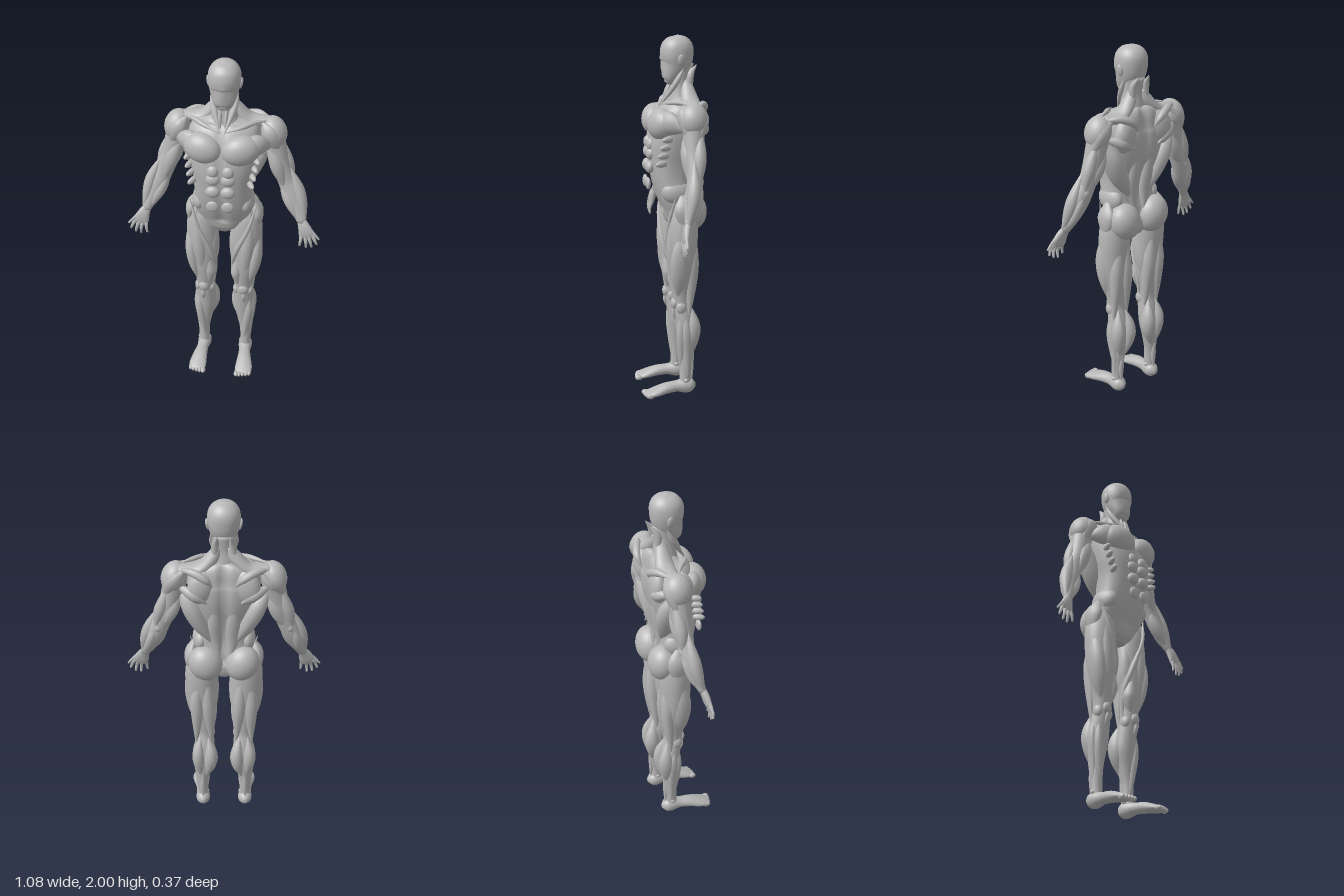
import * as THREE from 'three';

const grey = new THREE.MeshStandardMaterial({ color: 0xb8b8b8 });
grey.name = 'muscleGrey';

const Z = new THREE.Vector3(0, 0, 1), Y = new THREE.Vector3(0, 1, 0);

// Smooth skin over oval rings; each row is [x, y, z, half width, half depth]
function loft(rows, { ref = Z, n = 2, seg = 28, steps = 5, warp } = {}) {
  const path = new THREE.CatmullRomCurve3(rows.map(r => new THREE.Vector3(r[0], r[1], r[2])), false, 'catmullrom');
  const size = new THREE.CatmullRomCurve3(rows.map(r => new THREE.Vector3(r[3], r[4], 0)), false, 'catmullrom');
  const rings = (rows.length - 1) * steps, pos = [], idx = [];
  const round = v => Math.sign(v) * Math.pow(Math.abs(v), 2 / n);
  for (let i = 0; i <= rings; i++) {
    const p = path.getPoint(i / rings), s = size.getPoint(i / rings), t = path.getTangent(i / rings);
    const side = t.clone().cross(ref).normalize(), deep = t.clone().cross(side);
    for (let j = 0; j < seg; j++) {
      const a = j / seg * Math.PI * 2;
      const v = p.clone().addScaledVector(side, round(Math.cos(a)) * Math.max(s.x, 0.001))
        .addScaledVector(deep, round(Math.sin(a)) * Math.max(s.y, 0.001));
      if (warp) warp(v);
      pos.push(v.x, v.y, v.z);
      if (i < rings) {
        const k = i * seg + j, l = i * seg + (j + 1) % seg;
        idx.push(k, l, k + seg, l, l + seg, k + seg);
      }
    }
  }
  // End caps
  const first = rows[0], last = rows[rows.length - 1], c = pos.length / 3, top = rings * seg;
  pos.push(first[0], first[1], first[2], last[0], last[1], last[2]);
  for (let j = 0; j < seg; j++) {
    const k = (j + 1) % seg;
    idx.push(c, k, j, c + 1, top + j, top + k);
  }
  const g = new THREE.BufferGeometry();
  g.setAttribute('position', new THREE.Float32BufferAttribute(pos, 3));
  g.setIndex(idx);
  g.computeVertexNormals();
  return g;
}

export function createModel() {
  const model = new THREE.Group();
  model.name = 'muscleFigure';
  const add = (name, geometry) => {
    const m = new THREE.Mesh(geometry, grey);
    m.name = name;
    model.add(m);
    return m;
  };
  // Mirrored pair of lofts
  const pair = (name, rows, opt) => {
    add(name + 'Left', loft(rows, opt));
    add(name + 'Right', loft(rows.map(([x, ...rest]) => [-x, ...rest]), opt));
  };
  // Mirrored spindle muscle: points, then belly half width and half depth
  const muscle = (name, pts, w, d) => {
    const last = pts.length - 1;
    pair(name, pts.map((p, i) => {
      const k = 0.15 + 0.85 * Math.sin(Math.PI * i / last);
      return [...p, w * k, d * k];
    }), { seg: 14 });
  };
  // Mirrored ellipsoids
  const ball = (name, x, y, z, a, b, c, tilt = 0, yaw = 0) => {
    for (const s of [1, -1]) {
      const m = add(name + (s > 0 ? 'Left' : 'Right'), new THREE.SphereGeometry(1, 24, 16));
      m.position.set(x * s, y, z);
      m.scale.set(a, b, c);
      m.rotation.set(0, yaw * s, tilt * s);
    }
  };

  // Head, ears and neck
  add('head', loft([
    [0, 1.745, 0.018, 0.02, 0.016], [0, 1.76, 0.006, 0.046, 0.036], [0, 1.80, -0.008, 0.064, 0.056],
    [0, 1.85, -0.03, 0.078, 0.084], [0, 1.90, -0.036, 0.086, 0.09], [0, 1.95, -0.041, 0.079, 0.083],
    [0, 1.985, -0.043, 0.052, 0.055], [0, 2, -0.043, 0.012, 0.012]], { n: 2.1, warp: v => {
    // Nose ridge and shallow eye hollows
    if (v.z > 0) v.z += 0.008 * Math.exp(-((v.x / 0.015) ** 2) - ((v.y - 1.84) / 0.03) ** 2)
      - 0.006 * Math.exp(-(((Math.abs(v.x) - 0.035) / 0.02) ** 2) - ((v.y - 1.88) / 0.02) ** 2);
  } }));
  ball('ear', 0.084, 1.875, -0.045, 0.01, 0.032, 0.02, -0.15);
  add('neck', loft([[0, 1.84, -0.06, 0.06, 0.055], [0, 1.75, -0.05, 0.06, 0.054],
    [0, 1.69, -0.05, 0.07, 0.06], [0, 1.63, -0.05, 0.09, 0.07]]));
  muscle('neckFrontMuscle', [[0.066, 1.84, -0.065], [0.055, 1.75, -0.02], [0.012, 1.625, 0.06]], 0.018, 0.016);
  muscle('throatMuscle', [[0.015, 1.76, 0], [0.016, 1.7, 0.018], [0.012, 1.63, 0.04]], 0.01, 0.012);
  muscle('neckBackMuscle', [[0.035, 1.845, -0.137], [0.045, 1.78, -0.1], [0.05, 1.66, -0.11]], 0.02, 0.02);

  // Torso with a groove along the spine and breastbone
  add('torso', loft([
    [0, 0.955, -0.045, 0.045, 0.05], [0, 1.0, -0.045, 0.10, 0.075], [0, 1.08, -0.035, 0.15, 0.085],
    [0, 1.16, -0.015, 0.162, 0.095], [0, 1.24, -0.005, 0.158, 0.108], [0, 1.32, -0.005, 0.162, 0.122],
    [0, 1.41, -0.012, 0.178, 0.137], [0, 1.5, -0.026, 0.19, 0.138], [0, 1.58, -0.045, 0.19, 0.122],
    [0, 1.64, -0.065, 0.16, 0.09], [0, 1.68, -0.065, 0.07, 0.06]], { n: 2.4, seg: 64, steps: 6, warp: v => {
    const g = Math.exp(-((v.x / 0.025) ** 2));
    if (v.y > 1.05) v.z += v.z < -0.05 ? 0.022 * g : v.z > 0.03 ? -0.012 * g : 0;
  } }));
  ball('chestMuscle', 0.1, 1.54, 0.068, 0.104, 0.085, 0.07, 0.2, 0.22);
  muscle('chestToArm', [[0.08, 1.55, 0.09], [0.17, 1.555, 0.04], [0.26, 1.53, -0.03]], 0.065, 0.045);
  muscle('collarbone', [[0.015, 1.632, 0.06], [0.1, 1.652, 0.025], [0.16, 1.66, -0.02], [0.23, 1.655, -0.06]], 0.014, 0.014);
  pair('shoulderSlope', [[0.03, 1.77, -0.08, 0.02, 0.025], [0.06, 1.705, -0.085, 0.035, 0.04],
    [0.13, 1.645, -0.09, 0.03, 0.05], [0.24, 1.64, -0.085, 0.024, 0.035]], { seg: 18 });
  ball('shoulderBlade', 0.115, 1.555, -0.125, 0.075, 0.1, 0.05, 0.25, 0.25);
  muscle('bladeRidge', [[0.06, 1.57, -0.155], [0.1, 1.62, -0.165], [0.17, 1.65, -0.14], [0.25, 1.64, -0.09]], 0.022, 0.022);
  muscle('bladeToArm', [[0.09, 1.47, -0.155], [0.16, 1.52, -0.15], [0.25, 1.55, -0.1]], 0.032, 0.028);
  muscle('sideBackMuscle', [[0.24, 1.53, -0.07], [0.182, 1.43, -0.09], [0.125, 1.31, -0.085], [0.05, 1.17, -0.09]], 0.055, 0.065);
  muscle('spineMuscle', [[0.05, 1.52, -0.14], [0.05, 1.35, -0.115], [0.045, 1.2, -0.09], [0.03, 1.08, -0.11]], 0.04, 0.032);
  for (let i = 0; i < 4; i++)
    ball('ribMuscle' + i, 0.178 - i * 0.008, 1.47 - i * 0.045, 0.045 + i * 0.01, 0.016, 0.018, 0.042, 0, 0.5);
  ball('waistMuscle', 0.125, 1.175, -0.015, 0.046, 0.07, 0.085, 0.1);

  // Stomach blocks
  [[1.425, 0.032, 0.036, 0.115], [1.375, 0.038, 0.034, 0.117], [1.3, 0.039, 0.034, 0.122], [1.21, 0.034, 0.034, 0.13]]
    .forEach(([y, a, b, z], i) => ball('stomachBlock' + i, 0.041, y, z, a, b, i === 3 ? 0.014 : 0.024));

  // Seat and hips
  ball('buttock', 0.1, 1.055, -0.102, 0.092, 0.105, 0.08, -0.35);
  muscle('hipMuscle', [[0.16, 1.17, -0.03], [0.185, 1.08, -0.045], [0.19, 0.95, -0.045]], 0.032, 0.06);

  // Leg core from hip to ankle
  pair('leg', [
    [0.13, 1.12, -0.05, 0.05, 0.055], [0.125, 1.04, -0.048, 0.078, 0.078], [0.125, 0.94, -0.045, 0.09, 0.083],
    [0.122, 0.8, -0.042, 0.087, 0.076], [0.118, 0.7, -0.04, 0.074, 0.068], [0.113, 0.6, -0.042, 0.056, 0.056],
    [0.111, 0.53, -0.045, 0.052, 0.05], [0.112, 0.45, -0.058, 0.058, 0.054], [0.113, 0.37, -0.068, 0.06, 0.055],
    [0.119, 0.28, -0.07, 0.046, 0.046], [0.125, 0.19, -0.066, 0.034, 0.036], [0.125, 0.1, -0.062, 0.031, 0.032],
    [0.125, 0.05, -0.062, 0.034, 0.036]], { steps: 6 });
  // Thigh muscles
  muscle('frontThigh', [[0.15, 1.1, 0.01], [0.14, 0.93, 0.005], [0.128, 0.78, 0.003], [0.118, 0.57, -0.01]], 0.045, 0.044);
  muscle('outerThigh', [[0.19, 1.0, -0.04], [0.185, 0.84, -0.02], [0.168, 0.7, -0.02], [0.145, 0.57, -0.02]], 0.04, 0.055);
  muscle('innerThigh', [[0.1, 0.86, 0], [0.078, 0.7, -0.01], [0.076, 0.64, -0.014], [0.095, 0.54, -0.015]], 0.035, 0.042);
  muscle('groinMuscle', [[0.05, 1.0, -0.03], [0.068, 0.88, -0.035], [0.075, 0.75, -0.05], [0.08, 0.62, -0.06]], 0.044, 0.055);
  muscle('thighStrap', [[0.185, 1.16, 0.005], [0.14, 1.0, 0.034], [0.07, 0.82, 0.02], [0.052, 0.66, -0.035], [0.075, 0.48, -0.04]], 0.015, 0.016);
  muscle('outerHamstring', [[0.12, 1.0, -0.1], [0.15, 0.82, -0.09], [0.15, 0.68, -0.085], [0.158, 0.47, -0.075]], 0.04, 0.042);
  muscle('innerHamstring', [[0.1, 1.0, -0.1], [0.09, 0.82, -0.092], [0.083, 0.68, -0.085], [0.07, 0.47, -0.075]], 0.04, 0.042);
  // Knee and calf
  ball('kneecap', 0.115, 0.54, 0, 0.03, 0.034, 0.02);
  ball('kneeSideOuter', 0.152, 0.52, -0.035, 0.02, 0.035, 0.03);
  ball('kneeSideInner', 0.072, 0.52, -0.035, 0.02, 0.035, 0.03);
  muscle('kneeTendon', [[0.117, 0.53, 0.008], [0.118, 0.48, 0.004], [0.12, 0.43, -0.012]], 0.014, 0.01);
  muscle('innerCalf', [[0.09, 0.52, -0.085], [0.075, 0.42, -0.103], [0.08, 0.33, -0.1], [0.11, 0.22, -0.09]], 0.04, 0.046);
  muscle('outerCalf', [[0.135, 0.52, -0.085], [0.147, 0.42, -0.1], [0.143, 0.33, -0.096], [0.13, 0.22, -0.09]], 0.038, 0.044);
  muscle('shinMuscle', [[0.145, 0.49, -0.03], [0.145, 0.37, -0.032], [0.132, 0.25, -0.04], [0.115, 0.1, -0.04]], 0.028, 0.028);
  muscle('outerShin', [[0.158, 0.49, -0.055], [0.167, 0.38, -0.062], [0.152, 0.24, -0.068], [0.15, 0.08, -0.07]], 0.018, 0.026);
  muscle('heelTendon', [[0.122, 0.26, -0.11], [0.124, 0.16, -0.098], [0.124, 0.06, -0.1]], 0.016, 0.012);
  ball('ankleBone', 0.125, 0.085, -0.062, 0.038, 0.02, 0.022);

  // Feet and toes
  pair('foot', [
    [0.125, 0.046, -0.12, 0.012, 0.014], [0.125, 0.047, -0.095, 0.036, 0.038], [0.125, 0.047, -0.06, 0.04, 0.044],
    [0.128, 0.047, -0.01, 0.034, 0.032], [0.133, 0.042, 0.05, 0.041, 0.03], [0.138, 0.028, 0.11, 0.05, 0.024],
    [0.138, 0.02, 0.15, 0.048, 0.016], [0.138, 0.018, 0.165, 0.04, 0.01]], { ref: Y });
  for (let i = 0; i < 5; i++)
    ball('toe' + i, 0.1 + i * 0.019, 0.017, 0.163 - i * i * 0.001, i ? 0.011 : 0.014, 0.015, 0.022);

  // Arm core from shoulder to wrist
  pair('arm', [
    [0.235, 1.63, -0.075, 0.03, 0.04], [0.25, 1.58, -0.075, 0.06, 0.06], [0.268, 1.5, -0.07, 0.058, 0.056],
    [0.295, 1.4, -0.065, 0.052, 0.05], [0.333, 1.3, -0.062, 0.05, 0.042], [0.368, 1.22, -0.05, 0.052, 0.042],
    [0.4, 1.14, -0.03, 0.04, 0.034], [0.434, 1.06, -0.002, 0.025, 0.02]]);
  ball('shoulderCap', 0.258, 1.585, -0.073, 0.068, 0.088, 0.075, 0.3);
  muscle('frontShoulder', [[0.2, 1.655, -0.035], [0.245, 1.59, -0.022], [0.3, 1.45, -0.05]], 0.045, 0.034);
  muscle('rearShoulder', [[0.2, 1.645, -0.12], [0.265, 1.58, -0.115], [0.315, 1.45, -0.08]], 0.042, 0.036);
  muscle('biceps', [[0.225, 1.55, -0.045], [0.268, 1.44, -0.034], [0.295, 1.36, -0.034], [0.335, 1.25, -0.035]], 0.04, 0.036);
  muscle('outerTriceps', [[0.28, 1.56, -0.1], [0.32, 1.44, -0.09], [0.345, 1.36, -0.085], [0.365, 1.27, -0.085]], 0.034, 0.036);
  muscle('innerTriceps', [[0.225, 1.53, -0.09], [0.262, 1.42, -0.094], [0.3, 1.34, -0.085], [0.345, 1.27, -0.085]], 0.038, 0.032);
  ball('elbow', 0.35, 1.275, -0.088, 0.022, 0.028, 0.016, 0.4);
  muscle('outerForearm', [[0.35, 1.38, -0.055], [0.4, 1.26, -0.045], [0.425, 1.17, -0.03], [0.45, 1.06, 0]], 0.034, 0.036);
  muscle('innerForearm', [[0.3, 1.32, -0.055], [0.338, 1.22, -0.042], [0.373, 1.15, -0.025], [0.42, 1.06, 0]], 0.034, 0.036);
  muscle('backForearm', [[0.36, 1.29, -0.085], [0.385, 1.21, -0.072], [0.41, 1.13, -0.045], [0.44, 1.06, -0.01]], 0.028, 0.026);

  // Hands
  pair('palm', [[0.43, 1.07, -0.004, 0.024, 0.018], [0.447, 1.035, 0.008, 0.034, 0.019],
    [0.46, 1.0, 0.015, 0.042, 0.016], [0.467, 0.975, 0.018, 0.036, 0.01]], { n: 2.4 });
  // Finger knuckle, middle and tip
  [[[0.47, 1.035, 0.012], [0.505, 1.0, 0.018], [0.533, 0.968, 0.02]],
    [[0.492, 0.995, 0.015], [0.51, 0.962, 0.024], [0.522, 0.935, 0.022]],
    [[0.474, 0.985, 0.018], [0.487, 0.948, 0.027], [0.494, 0.914, 0.022]],
    [[0.455, 0.98, 0.018], [0.462, 0.945, 0.028], [0.464, 0.908, 0.022]],
    [[0.434, 0.985, 0.017], [0.432, 0.955, 0.028], [0.428, 0.922, 0.03]]]
    .forEach((p, i) => pair(i ? 'finger' + i : 'thumb', p.map((q, k) => [...q, 0.012 - k * 0.003, 0.011 - k * 0.0025]), { seg: 10 }));

  return model;
}
